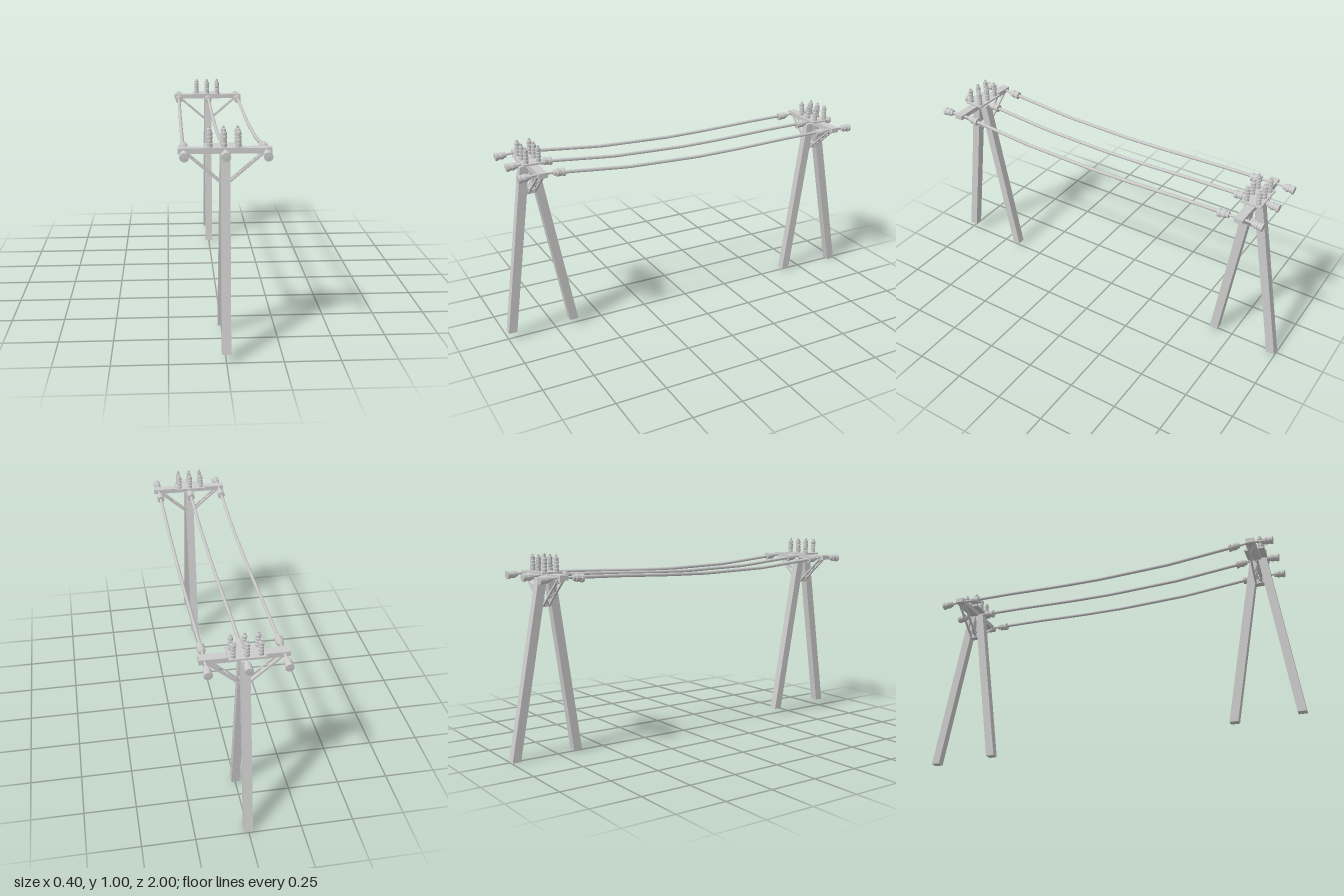
import * as THREE from 'three';

const mat = new THREE.MeshStandardMaterial({ color: 0xcccccc });
const flat = new THREE.MeshStandardMaterial({ color: 0xcccccc, flatShading: true });
const V = (x, y, z) => new THREE.Vector3(x, y, z);

function add(parent, name, geo, x = 0, y = 0, z = 0, material = flat) {
  const m = new THREE.Mesh(geo, material);
  m.name = name;
  m.position.set(x, y, z);
  parent.add(m);
  return m;
}

// Square bar running from a to b
function bar(parent, name, a, b, t) {
  const m = add(parent, name, new THREE.BoxGeometry(t, a.distanceTo(b), t));
  m.position.copy(a).add(b).multiplyScalar(0.5);
  m.quaternion.setFromUnitVectors(V(0, 1, 0), b.clone().sub(a).normalize());
  return m;
}

// Sloping post with level ends: a box sheared along z
function leg(parent, name, topZ, topY, footZ, footY) {
  const geo = new THREE.BoxGeometry(0.04, 1, 0.043);
  const p = geo.attributes.position;
  for (let i = 0; i < p.count; i++) {
    const top = p.getY(i) > 0;
    p.setY(i, top ? topY : footY);
    p.setZ(i, p.getZ(i) + (top ? topZ : footZ));
  }
  geo.computeVertexNormals();
  add(parent, name, geo);
}

const lathe = (pts, sides) => new THREE.LatheGeometry(pts.map(([r, y]) => new THREE.Vector2(r, y)), sides);

// Upright ribbed insulator with a small cap
const post = [[0, 0], [0.012, 0]];
for (let i = 0; i < 4; i++) {
  const y = 0.003 + i * 0.016;
  post.push([0.012, y], [0.0125, y + 0.012], [0.0095, y + 0.013], [0.0095, y + 0.015]);
}
post.push([0.01, 0.067], [0.006, 0.069], [0.006, 0.077], [0, 0.077]);
const postGeo = lathe(post, 12);

// Line insulator: thin rod, then a drum with a raised rim at each end
const strainGeo = lathe([[0, 0], [0.006, 0], [0.006, 0.055], [0.014, 0.057], [0.015, 0.07], [0.019, 0.072],
  [0.019, 0.084], [0.017, 0.086], [0.017, 0.097], [0.02, 0.099], [0.02, 0.111], [0, 0.112]], 12);

const LINES = [-0.174, 0, 0.174];

function tower(name, y, z) {
  const g = new THREE.Group();
  g.name = name;
  g.position.set(0, y, z);

  leg(g, 'frontLeg', 0.028, -0.008, 0.15, -0.863);
  leg(g, 'backLeg', -0.016, -0.008, -0.175, -0.873);
  add(g, 'crossarm', new THREE.BoxGeometry(0.4, 0.024, 0.043));
  add(g, 'insulatorPlate', new THREE.BoxGeometry(0.164, 0.008, 0.1), -0.006, 0.016, 0);

  for (const x of [-0.066, -0.005, 0.056])
    for (const s of [-1, 1]) add(g, 'postInsulator', postGeo, x, 0.02, s * 0.03);

  // Line insulators drooping slightly away from the crossarm
  for (const x of LINES)
    for (const s of [-1, 1])
      add(g, 'lineInsulator', strainGeo, x, 0.003, 0).rotation.x = s * (Math.PI / 2 + 0.09);

  // Paired diagonal braces with lacing between them
  for (const s of [-1, 1]) {
    const at = (t, dz) => V(s * (0.168 - 0.156 * t), -0.008 - 0.135 * t, dz);
    for (const dz of [-0.015, 0.015]) bar(g, 'brace', at(0, dz), at(1, dz), 0.009);
    for (let i = 0; i < 4; i++) {
      const d = i % 2 ? -0.015 : 0.015;
      bar(g, 'lacing', at(i / 4, d), at((i + 1) / 4, -d), 0.005);
    }
  }
  add(g, 'braceBlock', new THREE.BoxGeometry(0.034, 0.025, 0.05), 0, -0.135, 0.004);
  return g;
}

export function createModel() {
  const root = new THREE.Group();
  root.name = 'powerLine';
  root.add(tower('frontTower', 0.903, 0.83), tower('backTower', 0.873, -0.8));

  // Sagging cables in a few straight stretches
  const pts = [V(0, 0.898, 0.76), V(0, 0.894, 0.7), V(0, 0.866, 0.4), V(0, 0.855, 0.02),
    V(0, 0.858, -0.2), V(0, 0.868, -0.5), V(0, 0.872, -0.73)];
  const path = new THREE.CurvePath();
  for (let i = 1; i < pts.length; i++) path.add(new THREE.LineCurve3(pts[i - 1], pts[i]));
  for (const x of LINES) add(root, 'cable', new THREE.TubeGeometry(path, 24, 0.0085, 8), x, 0, 0, mat);
  return root;
}
